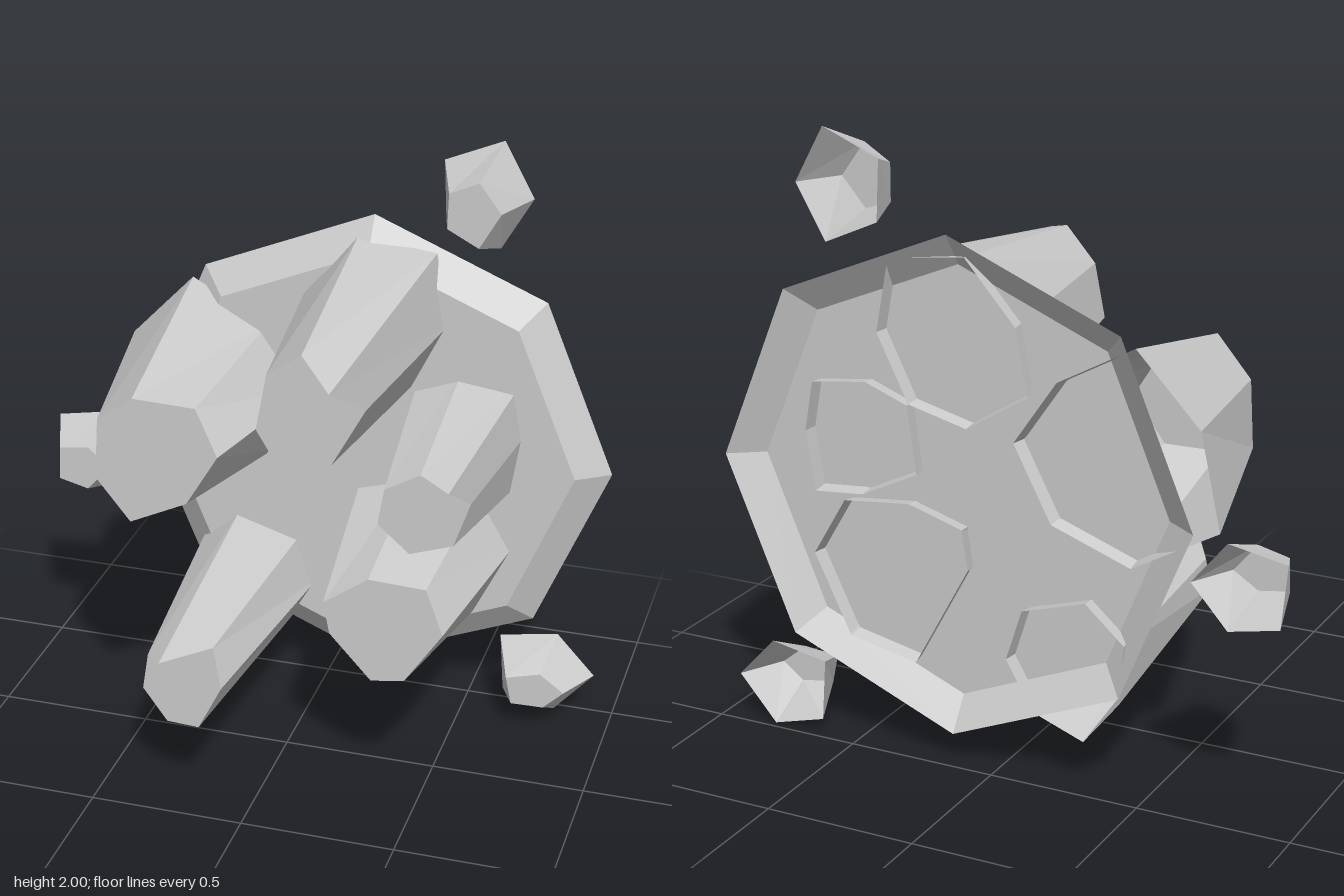
import * as THREE from 'three';

const material = new THREE.MeshStandardMaterial({ color: 0xcccccc, side: THREE.DoubleSide });

// Tapered faceted shell, open at the back: a flat back outline [x, y] at depth backZ
// joined to a jagged front outline [x, y, z], both listed clockwise from the front.
function facetedShell(name, backZ, back, front) {
  const n = front.length;
  const b = back.map(([x, y]) => new THREE.Vector3(x, y, backZ));
  const f = front.map(p => new THREE.Vector3(...p));
  const centre = f.reduce((sum, p) => sum.add(p), new THREE.Vector3()).divideScalar(n);
  const walls = [], cap = [];
  for (let i = 0; i < n; i++) {
    const j = (i + 1) % n;
    walls.push(f[i], f[j], b[j], f[i], b[j], b[i]);
    cap.push(centre, f[j], f[i]);
  }
  const geometry = new THREE.BufferGeometry().setFromPoints([...walls, ...cap]);
  geometry.computeVertexNormals();
  // The blunt end reads as a single front-facing facet
  const normals = geometry.attributes.normal;
  for (let i = walls.length; i < normals.count; i++) normals.setXYZ(i, 0, 0, 1);
  const mesh = new THREE.Mesh(geometry, material);
  mesh.name = name;
  return mesh;
}

// Clockwise regular polygon starting at the top
function regularOutline(cx, cy, radius, sides, ...rest) {
  return Array.from({ length: sides }, (_, i) => {
    const a = (i / sides) * Math.PI * 2;
    return [cx + radius * Math.sin(a), cy + radius * Math.cos(a), ...rest];
  });
}

export function createModel() {
  const model = new THREE.Group();
  model.name = 'crystalCluster';
  const crystalBack = -0.45, rockBack = -0.475;

  // Bevelled octagonal base
  model.add(facetedShell('basePlate', rockBack,
    regularOutline(0.147, 0.907, 0.808, 8),
    regularOutline(0.147, 0.907, 0.7, 8, -0.4)));

  // Long seven-sided crystals
  const crystals = new THREE.Group();
  crystals.name = 'crystals';
  const crystal = (name, back, front) => crystals.add(facetedShell(name, crystalBack, back, front));
  crystal('topCrystal',
    [[-0.11, 1.24], [-0.07, 1.45], [0.1, 1.645], [0.36, 1.615], [0.405, 1.375], [0.3, 1.16], [0.1, 1.11]],
    [[-0.01, 1.28, 0.29], [0.02, 1.46, 0.28], [0.145, 1.56, 0.33], [0.27, 1.51, 0.47],
      [0.325, 1.375, 0.26], [0.245, 1.225, 0.35], [0.11, 1.215, 0.42]]);
  crystal('upperRightCrystal',
    [[-0.735, 0.915], [-0.67, 1.22], [-0.46, 1.44], [-0.205, 1.3], [-0.06, 1.09], [-0.185, 0.85], [-0.45, 0.755]],
    [[-0.59, 0.97, 0.15], [-0.57, 1.185, 0.17], [-0.43, 1.3, 0.23], [-0.28, 1.215, 0.07],
      [-0.185, 1.09, 0.14], [-0.28, 0.93, 0.17], [-0.43, 0.895, 0.27]]);
  crystal('middleLeftCrystal',
    [[0.275, 0.935], [0.305, 1.155], [0.45, 1.21], [0.64, 1.185], [0.67, 1.02], [0.64, 0.825], [0.47, 0.84]],
    [[0.35, 0.97, 0.2], [0.37, 1.09, 0.2], [0.475, 1.14, 0.17], [0.58, 1.125, 0.24],
      [0.615, 1.02, 0.08], [0.59, 0.93, 0.2], [0.47, 0.92, 0.27]]);
  crystal('lowerLeftCrystal',
    [[0.1, 0.65], [0.12, 0.78], [0.305, 0.835], [0.535, 0.81], [0.65, 0.615], [0.525, 0.355], [0.29, 0.305]],
    [[0.2, 0.56, 0.2], [0.19, 0.69, 0.24], [0.315, 0.755, 0.17], [0.495, 0.73, 0.14],
      [0.565, 0.61, 0.2], [0.46, 0.465, 0.26], [0.345, 0.43, 0.23]]);
  crystal('lowerRightCrystal',
    [[-0.415, 0.305], [-0.43, 0.5], [-0.3, 0.615], [-0.085, 0.55], [-0.03, 0.38], [-0.12, 0.22], [-0.295, 0.155]],
    [[-0.36, 0.37, 0.385], [-0.35, 0.48, 0.36], [-0.275, 0.52, 0.47], [-0.16, 0.49, 0.28],
      [-0.115, 0.38, 0.34], [-0.16, 0.285, 0.43], [-0.275, 0.27, 0.4]]);
  model.add(crystals);

  // Small five-sided loose rocks around the base
  const rocks = new THREE.Group();
  rocks.name = 'rocks';
  const rock = (name, back, front) => rocks.add(facetedShell(name, rockBack, back, front));
  rock('topRock',
    [[0.37, 1.92], [0.56, 2], [0.66, 1.82], [0.56, 1.645], [0.38, 1.725]],
    [[0.425, 1.87, -0.31], [0.525, 1.92, -0.29], [0.59, 1.815, -0.32], [0.53, 1.71, -0.285], [0.42, 1.75, -0.32]]);
  rock('rightRock',
    [[-0.94, 0.66], [-0.96, 0.865], [-0.77, 0.9], [-0.655, 0.76], [-0.775, 0.625]],
    [[-0.9, 0.71, -0.3], [-0.9, 0.82, -0.31], [-0.795, 0.84, -0.3], [-0.73, 0.76, -0.33], [-0.795, 0.69, -0.29]]);
  rock('lowerLeftRock',
    [[0.61, 0.255], [0.805, 0.29], [0.935, 0.15], [0.805, 0], [0.625, 0.05]],
    [[0.67, 0.195, -0.3], [0.78, 0.215, -0.32], [0.86, 0.15, -0.33], [0.795, 0.09, -0.32], [0.69, 0.1, -0.3]]);
  model.add(rocks);

  return model;
}
